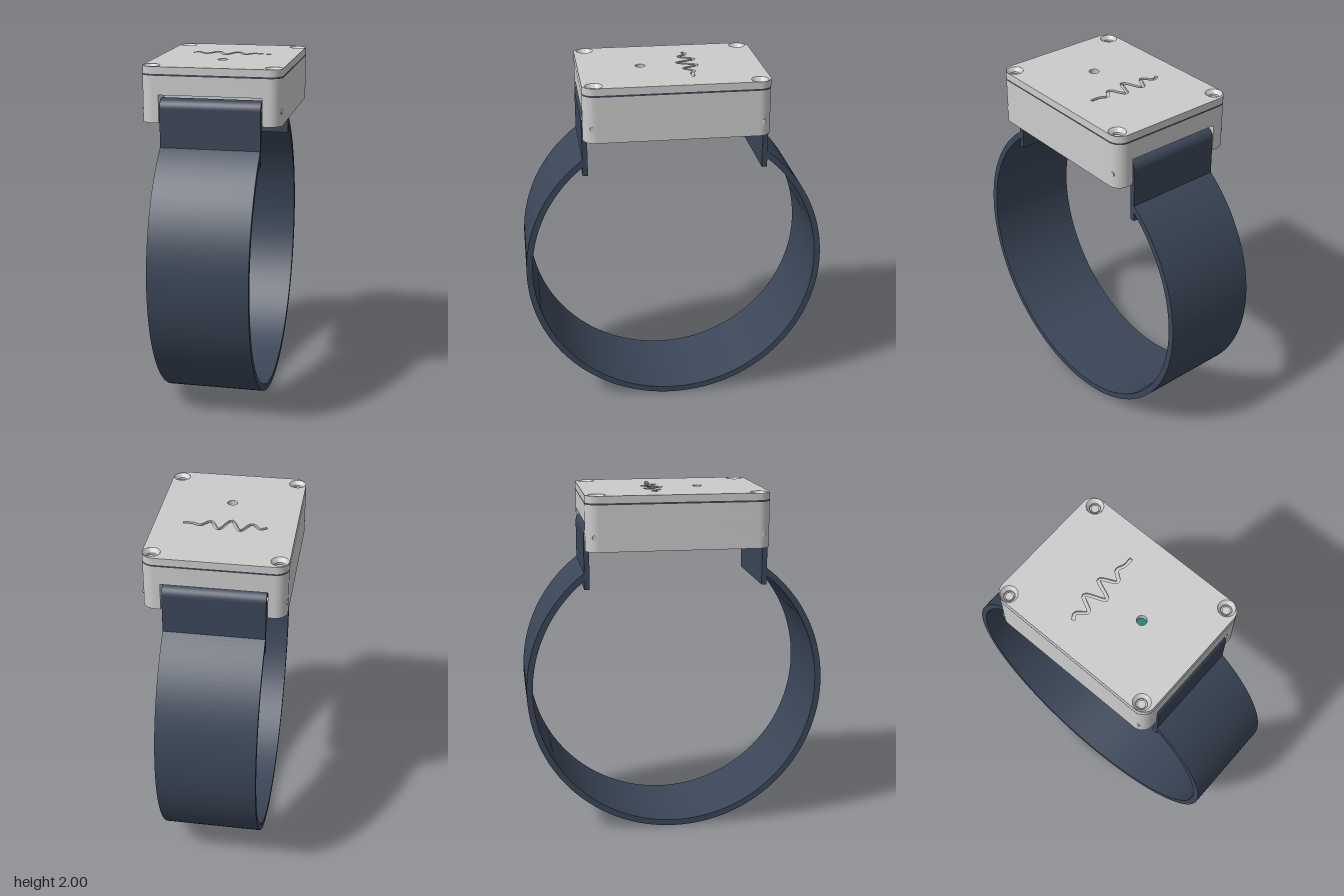
import * as THREE from 'three';
import { toCreasedNormals } from 'three/addons/utils/BufferGeometryUtils.js';

const mat = (color) => new THREE.MeshStandardMaterial({ color, side: THREE.DoubleSide });
const grey = mat(0xcccccc), navy = mat(0x3b4658), teal = mat(0x14806f), gold = mat(0xb8860b);

const W = 0.39, D = 0.52, R = 0.07;            // case half width, half depth, corner radius
const PIN_Y = 1.77, PIN_Z = 0.47, BAND_W = 0.56;
const SCREWS = [[1, 1], [1, -1], [-1, 1], [-1, -1]].map(([a, b]) => [a * 0.34, b * 0.455]);

function add(parent, name, geometry, material, x = 0, y = 0, z = 0) {
  const mesh = new THREE.Mesh(geometry, material);
  mesh.name = name;
  mesh.position.set(x, y, z);
  parent.add(mesh);
  return mesh;
}

function extrude(shape, depth) {
  const g = new THREE.ExtrudeGeometry(shape, { depth, bevelEnabled: false, curveSegments: 24 });
  return toCreasedNormals(g, 0.6);
}

// Horizontal slab between two heights; shape y points to -z
const slab = (shape, y0, y1) => extrude(shape, y1 - y0).rotateX(-Math.PI / 2).translate(0, y0, 0);

// Side profile (z, y) drawn across the width of the band
const across = (shape) => extrude(shape, BAND_W).translate(0, 0, -BAND_W / 2).rotateY(-Math.PI / 2);

// Rounded footprint, optionally with strap pockets cut into both ends
function footprint(pocketHalf = 0, pocketDepth = 0) {
  const s = new THREE.Shape();
  const w = W - R, d = D - R;
  s.moveTo(W, -d);
  s.absarc(w, d, R, 0, Math.PI / 2);
  if (pocketHalf) {
    s.lineTo(pocketHalf, D);
    s.lineTo(pocketHalf, D - pocketDepth);
    s.lineTo(-pocketHalf, D - pocketDepth);
    s.lineTo(-pocketHalf, D);
  }
  s.absarc(-w, d, R, Math.PI / 2, Math.PI);
  s.absarc(-w, -d, R, Math.PI, Math.PI * 1.5);
  if (pocketHalf) {
    s.lineTo(-pocketHalf, -D);
    s.lineTo(-pocketHalf, -D + pocketDepth);
    s.lineTo(pocketHalf, -D + pocketDepth);
    s.lineTo(pocketHalf, -D);
  }
  s.absarc(w, -d, R, Math.PI * 1.5, Math.PI * 2);
  return s;
}

const circle = (x, y, r) => new THREE.Path().absarc(x, y, r, 0, Math.PI * 2);

// Outline of the engraved pulse wave: a curve offset to both sides
function waveOutline(halfWidth) {
  const pts = [[-0.23, 0.105], [-0.195, 0.122], [-0.145, 0.075], [-0.088, 0.155], [-0.028, 0.05],
    [0.03, 0.155], [0.085, 0.073], [0.135, 0.12], [0.18, 0.105], [0.232, 0.105]];
  const curve = new THREE.CatmullRomCurve3(pts.map(([x, y]) => new THREE.Vector3(x, y, 0)));
  const left = [], right = [], n = 90;
  for (let i = 0; i <= n; i++) {
    const p = curve.getPointAt(i / n), t = curve.getTangentAt(i / n);
    left.push(new THREE.Vector2(p.x - t.y * halfWidth, p.y + t.x * halfWidth));
    right.unshift(new THREE.Vector2(p.x + t.y * halfWidth, p.y - t.x * halfWidth));
  }
  return new THREE.Path([...left, ...right]);
}

function lidShape(engraved) {
  const s = footprint();
  for (const [x, z] of SCREWS) s.holes.push(circle(x, -z, 0.048));
  s.holes.push(circle(0, -0.165, 0.028));
  if (engraved) s.holes.push(waveOutline(0.009));
  return s;
}

function buildCase() {
  const g = new THREE.Group();
  g.name = 'case';
  add(g, 'caseBottom', slab(footprint(0.287, 0.125), 1.69, 1.845), grey);
  add(g, 'caseTop', slab(footprint(), 1.845, 1.95), grey);
  add(g, 'gasket', slab(footprint(), 1.95, 1.96), navy);
  add(g, 'lidBase', slab(lidShape(false), 1.96, 1.988), grey);
  add(g, 'lidTop', slab(lidShape(true), 1.988, 2), grey);
  add(g, 'indicatorLight', new THREE.CylinderGeometry(0.028, 0.028, 0.006, 32), teal, 0, 1.96, 0.165);
  add(g, 'sensorPad', new THREE.BoxGeometry(0.14, 0.006, 0.155), gold, 0.3, 1.69, 0);

  // Countersunk screw seats with a small screw in each
  const seat = [[0.048, 2], [0.03, 1.978], [0.03, 1.963], [0, 1.963]].map(([r, y]) => new THREE.Vector2(r, y));
  const seatGeo = toCreasedNormals(new THREE.LatheGeometry(seat, 32).toNonIndexed(), 0.5);
  for (const [x, z] of SCREWS) {
    add(g, 'screwSeat', seatGeo, grey, x, 0, z);
    add(g, 'screw', new THREE.CylinderGeometry(0.022, 0.022, 0.008, 24), grey, x, 1.967, z);
  }
  return g;
}

// Strap end: a loop round the pin and a flat tab hanging down
function buildStrapEnd(name) {
  const g = new THREE.Group();
  g.name = name;
  const loop = new THREE.Shape().absarc(PIN_Z, PIN_Y, 0.055, 0, Math.PI * 2);
  loop.holes.push(circle(PIN_Z, PIN_Y, 0.027));
  add(g, 'strapLoop', across(loop), navy);
  add(g, 'strapTab', new THREE.BoxGeometry(BAND_W, PIN_Y - 1.46, 0.03), navy, 0, (PIN_Y + 1.46) / 2, 0.51);
  const pin = new THREE.CylinderGeometry(0.015, 0.015, W * 2 - 0.002, 20).rotateZ(Math.PI / 2);
  add(g, 'pin', pin, grey, 0, PIN_Y, PIN_Z);
  return g;
}

// Wrist band: an open ring between the two tabs
function bandGeometry() {
  const outer = 0.866, inner = 0.831, gap = 0.638;
  const a = Math.PI / 2 - gap, b = Math.PI / 2 + gap;
  const s = new THREE.Shape();
  s.absarc(0, outer, outer, a, b, true);
  s.absarc(0, outer, inner, b, a, false);
  s.closePath();
  const g = new THREE.ExtrudeGeometry(s, { depth: BAND_W, bevelEnabled: false, curveSegments: 96 });
  return toCreasedNormals(g, 0.6).translate(0, 0, -BAND_W / 2).rotateY(-Math.PI / 2);
}

export function createModel() {
  const model = new THREE.Group();
  model.name = 'wristDevice';
  model.add(buildCase());
  add(model, 'band', bandGeometry(), navy);
  model.add(buildStrapEnd('frontStrapEnd'));
  const back = buildStrapEnd('backStrapEnd');
  back.rotation.y = Math.PI;
  model.add(back);
  return model;
}
